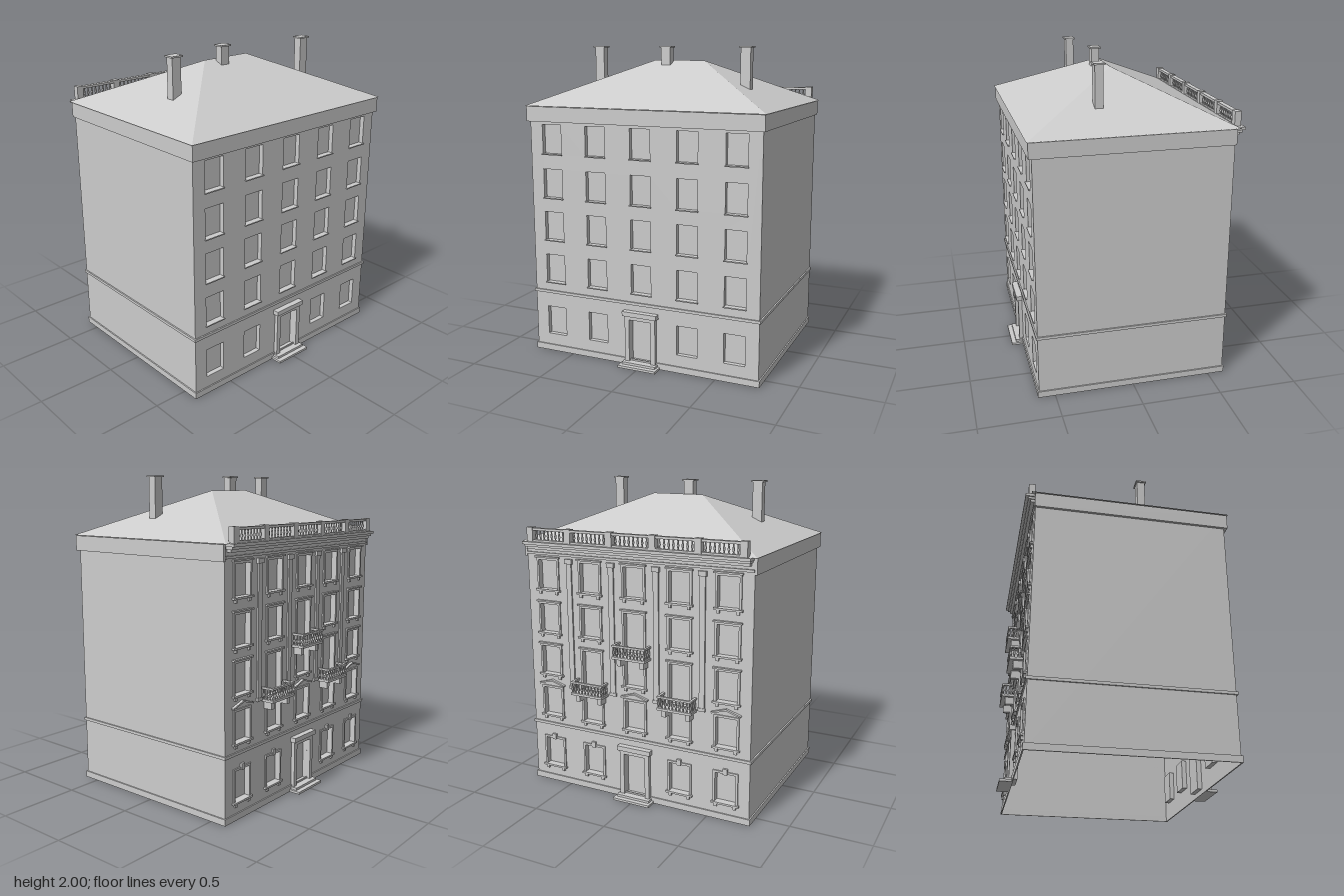
import * as THREE from 'three';

const stone = new THREE.MeshStandardMaterial({ color: 0xcccccc, side: THREE.DoubleSide });
stone.name = 'pale grey stone';

const HX = 0.775, HZ = 0.6;                       // wall half sizes
const COLUMNS = [-0.62, -0.31, 0, 0.31, 0.62];
const FLOORS = [0.475, 0.76, 1.04, 1.325];        // sill heights above the ground floor
const WIN_W = 0.136, WIN_H = 0.187, DEPTH = 0.03;

function add(parent, geometry, name) {
  const mesh = new THREE.Mesh(geometry, stone);
  mesh.name = name;
  parent.add(mesh);
  return mesh;
}

function box(parent, name, x0, x1, y0, y1, z0, z1) {
  const mesh = add(parent, new THREE.BoxGeometry(x1 - x0, y1 - y0, z1 - z0), name);
  mesh.position.set((x0 + x1) / 2, (y0 + y1) / 2, (z0 + z1) / 2);
  return mesh;
}

function rectPath(path, x0, x1, y0, y1) {
  path.moveTo(x0, y0);
  path.lineTo(x1, y0);
  path.lineTo(x1, y1);
  path.lineTo(x0, y1);
  path.closePath();
  return path;
}

// Triangles from a list of quads or triangles given by their corners
function faces(list) {
  const points = [];
  for (const f of list) {
    for (let i = 1; i < f.length - 1; i++) points.push(...f[0], ...f[i], ...f[i + 1]);
  }
  const g = new THREE.BufferGeometry();
  g.setAttribute('position', new THREE.Float32BufferAttribute(points, 3));
  g.computeVertexNormals();
  return g;
}

// Sheet wall with an inward recess behind every opening
function wall(parent, openings) {
  const shape = rectPath(new THREE.Shape(), -HX, HX, 0, 1.63);
  for (const o of openings) shape.holes.push(rectPath(new THREE.Path(), ...o));
  add(parent, new THREE.ShapeGeometry(shape), 'wall').position.z = HZ;
  const a = HZ, b = HZ - DEPTH;
  for (const [l, r, d, u] of openings) {
    add(parent, faces([
      [[l, d, b], [r, d, b], [r, u, b], [l, u, b]],
      [[l, d, a], [l, d, b], [l, u, b], [l, u, a]],
      [[r, d, b], [r, d, a], [r, u, a], [r, u, b]],
      [[l, d, a], [r, d, a], [r, d, b], [l, d, b]],
      [[l, u, b], [r, u, b], [r, u, a], [l, u, a]],
    ]), 'openingRecess');
  }
}

// Doorway surround with lintel and two steps
function doorway(parent) {
  const g = new THREE.Group();
  g.name = 'doorway';
  parent.add(g);
  for (const s of [-1, 1]) {
    const x = s * 0.09;
    box(g, 'doorJamb', x - 0.015, x + 0.015, 0, 0.33, HZ, 0.625);
  }
  box(g, 'doorHead', -0.075, 0.075, 0.305, 0.33, HZ, 0.625);
  box(g, 'doorLintel', -0.118, 0.118, 0.33, 0.36, HZ, 0.638);
  box(g, 'lowerStep', -0.13, 0.13, 0, 0.015, HZ, 0.682);
  box(g, 'upperStep', -0.115, 0.115, 0.015, 0.03, HZ, 0.652);
}

function openingsFor(isBack) {
  const list = [[-0.075, 0.075, 0.03, 0.305]];
  for (const x of COLUMNS) {
    const l = x - WIN_W / 2, r = x + WIN_W / 2;
    if (x !== 0) list.push([l, r, 0.115, 0.305]);
    FLOORS.forEach((y, floor) => {
      const low = isBack && balconyAt(x, floor) ? y - 0.07 : y;
      list.push([l, r, low, y + WIN_H]);
    });
  }
  return list;
}

function balconyAt(x, floor) {
  return (floor === 1 && Math.abs(x) === 0.31) || (floor === 2 && x === 0);
}

// Turned baluster, 1 unit tall before scaling
const balusterGeometry = new THREE.LatheGeometry(
  [[0.006, 0], [0.004, 0.15], [0.008, 0.4], [0.004, 0.8], [0.006, 1]].map(p => new THREE.Vector2(...p)), 6);

function baluster(parent, x, y, z, h) {
  const m = add(parent, balusterGeometry, 'baluster');
  m.position.set(x, y, z);
  m.scale.y = h;
}

function balcony(parent, x, y) {
  const g = new THREE.Group();
  g.name = 'balcony';
  g.position.set(x, y, 0);
  parent.add(g);
  const w = 0.115, zo = 0.682;
  box(g, 'balconySlab', -w, w, 0, 0.015, HZ, zo);
  box(g, 'frontRail', -w, w, 0.078, 0.09, zo - 0.016, zo);
  for (let i = 0; i <= 9; i++) baluster(g, -0.107 + i * 0.0238, 0.015, zo - 0.008, 0.063);
  for (const s of [-1, 1]) {
    const rx = s * (w - 0.008);
    box(g, 'sideRail', rx - 0.008, rx + 0.008, 0.078, 0.09, HZ, zo - 0.016);
    for (let i = 0; i < 3; i++) baluster(g, rx, 0.015, HZ + 0.01 + i * 0.022, 0.063);
    box(g, 'balconyBracket', s * 0.08 - 0.014, s * 0.08 + 0.014, -0.048, 0, HZ, 0.657);
  }
}

// Raised frame, sill and hood around one back window
function windowTrim(parent, x, y0, y1, kind) {
  const g = new THREE.Group();
  g.name = 'windowTrim';
  g.position.x = x;
  parent.add(g);
  const w = WIN_W / 2, f = 0.014, z = 0.608;
  for (const s of [-1, 1]) {
    const c = s * (w + f / 2);
    box(g, 'frameSide', c - f / 2, c + f / 2, y0, y1, HZ, z);
  }
  box(g, 'frameTop', -w - f, w + f, y1, y1 + f, HZ, z);
  if (kind !== 'balcony') {
    box(g, 'sill', -w - 0.022, w + 0.022, y0 - 0.012, y0, HZ, 0.618);
    for (const s of [-1, 1]) {
      box(g, 'sillBracket', s * 0.062 - 0.009, s * 0.062 + 0.009, y0 - 0.032, y0 - 0.012, HZ, 0.612);
    }
  }
  if (kind === 'ground') {
    box(g, 'keystone', -0.014, 0.014, y1 - 0.004, y1 + 0.034, HZ, 0.614);
  } else if (kind === 'pediment') {
    for (const s of [-1, 1]) {
      const slope = add(g, new THREE.BoxGeometry(0.1, 0.01, 0.018), 'pedimentSlope');
      slope.position.set(s * 0.047, y1 + 0.04, HZ + 0.009);
      slope.rotation.z = -s * 0.3;
    }
  } else {
    box(g, 'hood', -w - 0.022, w + 0.022, y1 + f, y1 + f + 0.01, HZ, 0.618);
  }
}

// Plain facade
function frontFacade() {
  const g = new THREE.Group();
  g.name = 'frontFacade';
  wall(g, openingsFor(false));
  doorway(g);
  for (const x of COLUMNS) {
    for (const y of FLOORS) box(g, 'sill', x - 0.073, x + 0.073, y - 0.007, y, HZ, 0.61);
  }
  box(g, 'eavesBand', -0.79, 0.79, 1.53, 1.625, HZ, 0.62);
  return g;
}

// Ornate facade, modelled facing forward and then turned round
function backFacade() {
  const g = new THREE.Group();
  g.name = 'backFacade';
  wall(g, openingsFor(true));
  doorway(g);
  for (const x of COLUMNS) {
    if (x !== 0) windowTrim(g, x, 0.115, 0.305, 'ground');
    FLOORS.forEach((y, floor) => {
      const hasBalcony = balconyAt(x, floor);
      const pediment = floor === 0 && Math.abs(x) !== 0.31;
      const kind = hasBalcony ? 'balcony' : pediment ? 'pediment' : 'plain';
      windowTrim(g, x, hasBalcony ? y - 0.07 : y, y + WIN_H, kind);
      if (hasBalcony) balcony(g, x, y - 0.092);
    });
  }
  for (const x of [-0.46, -0.155, 0.155, 0.46]) {
    box(g, 'pilaster', x - 0.018, x + 0.018, 0.7, 1.5, HZ, 0.61);
    box(g, 'pilasterBase', x - 0.024, x + 0.024, 0.68, 0.7, HZ, 0.614);
    box(g, 'pilasterCapital', x - 0.026, x + 0.026, 1.5, 1.53, HZ, 0.617);
  }
  // Stepped cornice
  box(g, 'architrave', -HX, HX, 1.545, 1.56, HZ, 0.612);
  box(g, 'corniceLower', -0.755, 0.755, 1.58, 1.597, HZ, 0.63);
  box(g, 'corniceMiddle', -0.762, 0.762, 1.597, 1.612, HZ, 0.645);
  box(g, 'corniceTop', -0.77, 0.77, 1.612, 1.63, HZ, 0.662);
  // Roof balustrade
  const posts = [-0.722, -0.443, -0.148, 0.148, 0.443, 0.722];
  box(g, 'balustradeFoot', -0.742, 0.742, 1.63, 1.642, 0.606, 0.638);
  box(g, 'balustradeRail', -0.742, 0.742, 1.7, 1.715, 0.606, 0.638);
  posts.forEach((x, i) => {
    box(g, 'balustradePost', x - 0.022, x + 0.022, 1.63, 1.72, 0.602, 0.642);
    if (i === 0) return;
    const p = posts[i - 1], n = 8;
    for (let k = 1; k <= n; k++) baluster(g, p + 0.012 + (x - p - 0.024) * k / (n + 1), 1.642, 0.622, 0.058);
  });
  g.rotation.y = Math.PI;
  return g;
}

// Thin band running round all four walls
function ring(parent, name, y0, y1, out) {
  for (const s of [-1, 1]) {
    const x = s * (HX + out / 2), z = s * (HZ + out / 2);
    box(parent, name, x - out / 2, x + out / 2, y0, y1, -HZ, HZ);
    box(parent, name, -HX - out, HX + out, y0, y1, z - out / 2, z + out / 2);
  }
}

function chimney(parent, x, z, y0) {
  box(parent, 'chimneyShaft', x - 0.032, x + 0.032, y0, 1.99, z - 0.026, z + 0.026);
  box(parent, 'chimneyCap', x - 0.042, x + 0.042, 1.99, 2, z - 0.034, z + 0.034);
}

export function createModel() {
  const model = new THREE.Group();
  model.name = 'townBuilding';
  model.add(frontFacade(), backFacade());

  // Blank side walls with their eaves bands
  for (const s of [-1, 1]) {
    const side = add(model, new THREE.PlaneGeometry(2 * HZ, 1.63), 'sideWall');
    side.position.set(s * HX, 0.815, 0);
    side.rotation.y = s * Math.PI / 2;
    const x = s * 0.7825;
    box(model, 'eavesBand', x - 0.0075, x + 0.0075, 1.53, 1.625, -0.605, 0.62);
  }
  ring(model, 'plinth', 0, 0.04, 0.008);
  ring(model, 'stringCourse', 0.4, 0.418, 0.009);

  // Hipped roof
  const A = [-0.797, 1.628, 0.627], B = [0.797, 1.628, 0.627];
  const C = [0.797, 1.628, -0.627], D = [-0.797, 1.628, -0.627];
  const L = [-0.175, 1.908, 0], R = [0.175, 1.908, 0];
  add(model, faces([[A, B, R, L], [B, C, R], [C, D, L, R], [D, A, L]]), 'hippedRoof');

  chimney(model, -0.515, 0.122, 1.74);
  chimney(model, -0.067, 0.045, 1.87);
  chimney(model, 0.523, 0.163, 1.73);
  return model;
}
